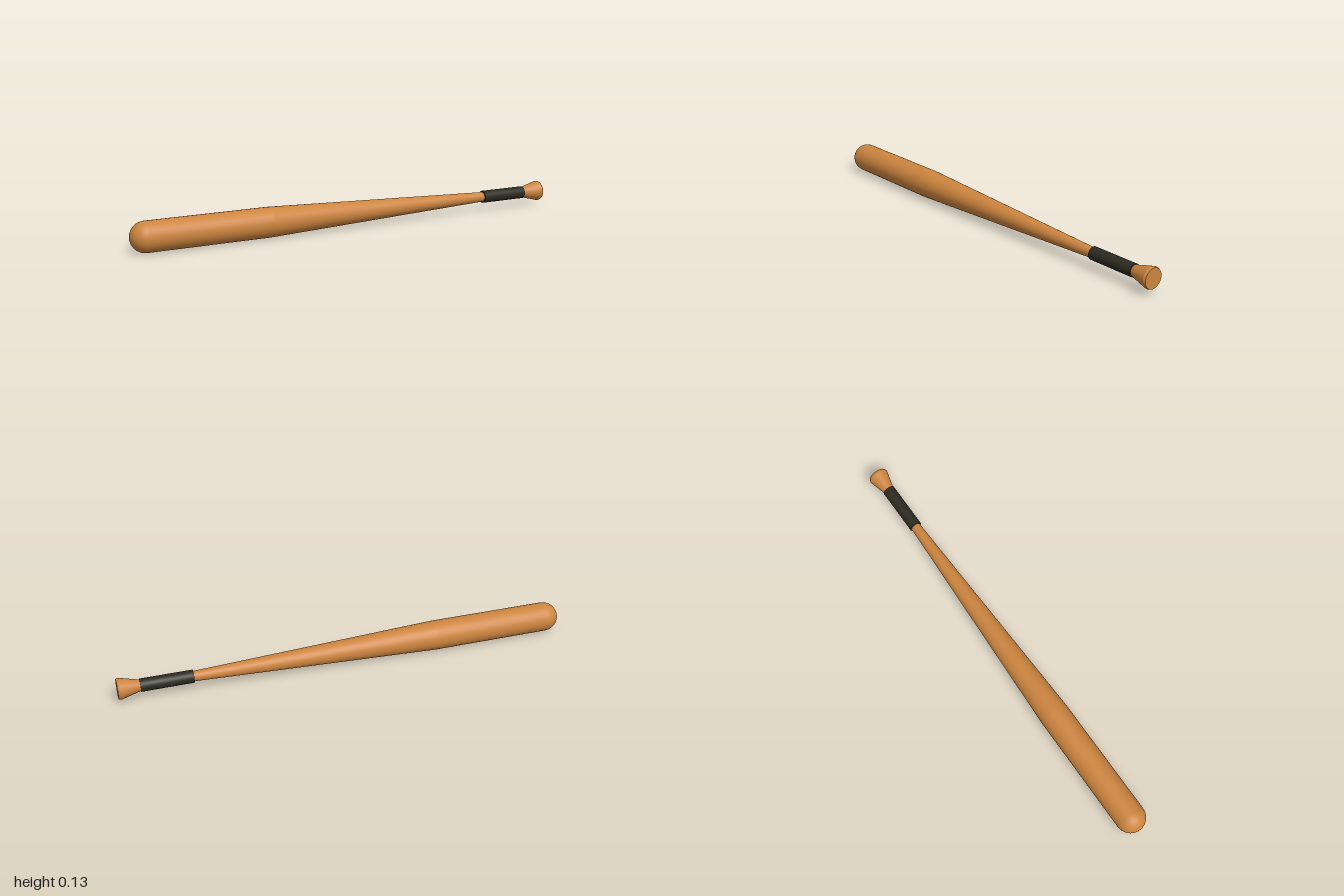
import * as THREE from 'three';

export function createModel() {
  const wood = new THREE.MeshStandardMaterial({ color: 0xcd853f });
  wood.name = 'wood';
  const wrap = new THREE.MeshStandardMaterial({ color: 0x2b2b20 });
  wrap.name = 'dark grip wrap';

  const SIDES = 32;
  const bat = new THREE.Group();
  bat.name = 'bat';

  // Adds a round section along x, from x0 (radius r0) to x1 (radius r1)
  function section(name, x0, r0, x1, r1, material, open = false) {
    const geometry = new THREE.CylinderGeometry(r1, r0, x1 - x0, SIDES, 1, open);
    geometry.rotateZ(-Math.PI / 2);
    geometry.translate((x0 + x1) / 2, 0, 0);
    const mesh = new THREE.Mesh(geometry, material);
    mesh.name = name;
    bat.add(mesh);
  }

  // Domed tip of the barrel
  const R = 0.065;
  const dome = new THREE.SphereGeometry(R, SIDES, 10, 0, Math.PI * 2, 0, Math.PI / 2);
  dome.rotateZ(Math.PI / 2);
  dome.translate(-1 + R, 0, 0);
  const tip = new THREE.Mesh(dome, wood);
  tip.name = 'barrelTip';
  bat.add(tip);

  // Straight barrel, long taper and handle
  section('barrel', -1 + R, R, -0.4, R, wood, true);
  section('taper', -0.4, R, 0.68, 0.022, wood, true);
  section('handle', 0.68, 0.022, 0.905, 0.022, wood, true);

  // Wrapped grip
  section('grip', 0.68, 0.028, 0.905, 0.028, wrap);

  // Flared knob with a slightly softened rim
  section('knob', 0.9, 0.023, 0.99, 0.046, wood, true);
  section('knobCap', 0.99, 0.046, 1, 0.043, wood);

  bat.position.y = R;
  const model = new THREE.Group();
  model.add(bat);
  return model;
}
